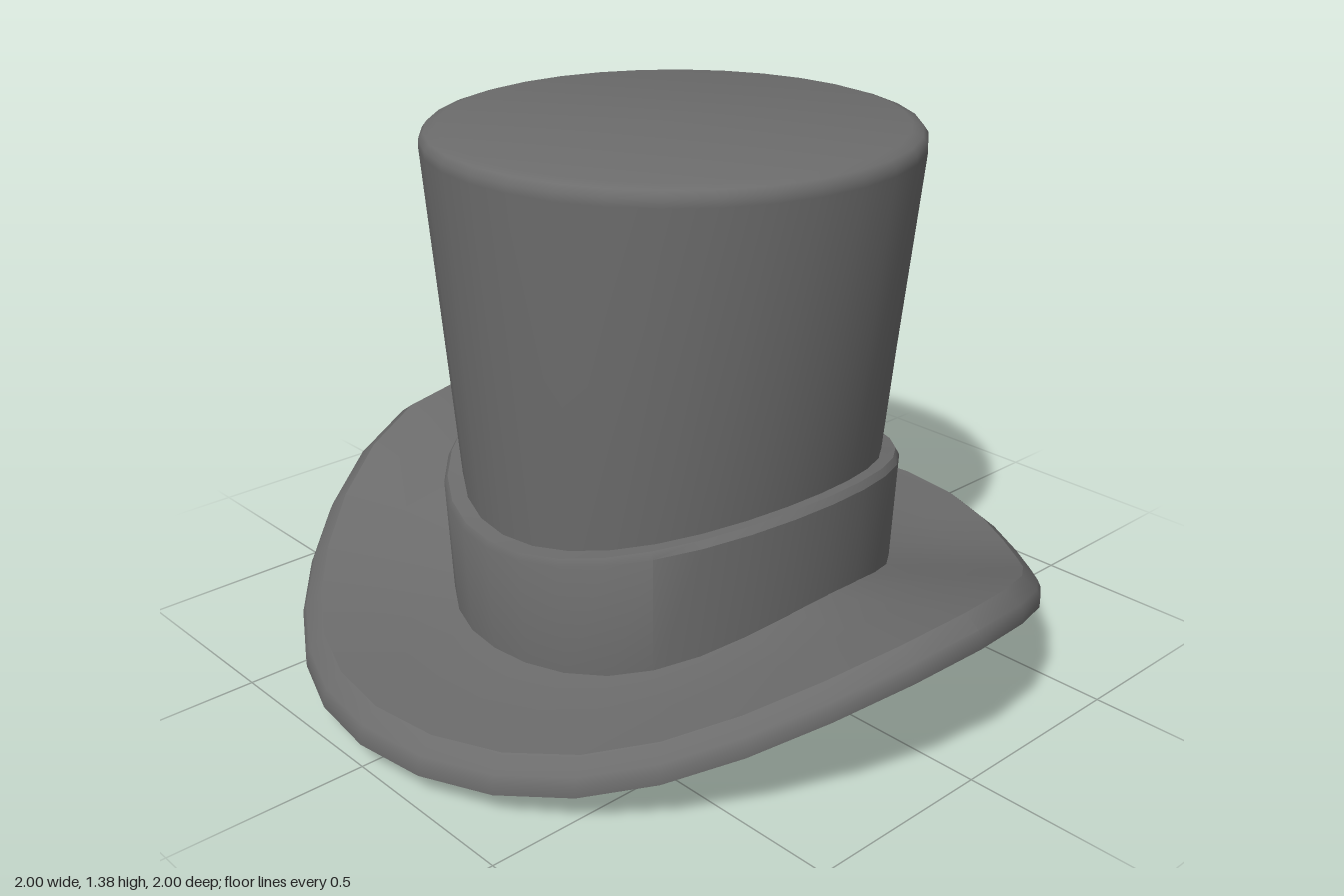
import * as THREE from 'three';
import { toCreasedNormals } from 'three/addons/utils/BufferGeometryUtils.js';

const SEGMENTS = 32;
const material = new THREE.MeshStandardMaterial({ color: 0x6c6c6c, side: THREE.DoubleSide });

// Point on a saddle-shaped ring: [x radius, z radius, height at front, height at sides, sharpness]
function ringPoint([rx, rz, yFront, ySide, power = 4], j) {
  const a = (j / SEGMENTS) * Math.PI * 2;
  const c = Math.cos(a), s = Math.sin(a);
  // wide rings are pinched between the axes, a little more on the left side
  const amount = (0.04 + 0.025 * c) * THREE.MathUtils.smoothstep(rx, 0.6, 0.95);
  const pinch = 1 - amount * Math.sin(2 * a) ** 2;
  return [rx * c * pinch, yFront + (ySide - yFront) * Math.abs(c) ** power, rz * s * pinch];
}

// Skin a list of rings
function loft(name, rings, crease) {
  const pos = [];
  for (let i = 0; i < rings.length - 1; i++) {
    for (let j = 0; j < SEGMENTS; j++) {
      const k = (j + 1) % SEGMENTS;
      const a = ringPoint(rings[i], j), b = ringPoint(rings[i], k);
      const c = ringPoint(rings[i + 1], j), d = ringPoint(rings[i + 1], k);
      if (rings[i][0] > 0) pos.push(...a, ...c, ...b);
      if (rings[i + 1][0] > 0) pos.push(...b, ...c, ...d);
    }
  }
  const geometry = new THREE.BufferGeometry();
  geometry.setAttribute('position', new THREE.Float32BufferAttribute(pos, 3));
  const mesh = new THREE.Mesh(toCreasedNormals(geometry, crease), material);
  mesh.name = name;
  return mesh;
}

export function createModel() {
  const hat = new THREE.Group();
  hat.name = 'topHat';

  // Curled brim: underside outwards, around the rim, back over the top
  hat.add(loft('brim', [
    [0.5, 0.555, 0, 0.13],
    [0.76, 0.78, 0.008, 0.225],
    [0.96, 0.96, 0.048, 0.325],
    [1, 1, 0.06, 0.345],
    [1, 1, 0.088, 0.37],
    [0.99, 0.99, 0.108, 0.39],
    [0.95, 0.95, 0.142, 0.418],
    [0.76, 0.78, 0.148, 0.36],
    [0.55, 0.6, 0.16, 0.3],
    [0.5, 0.555, 0.17, 0.3],
  ], 0.6));

  // The crown and its band sit slightly forward on the brim
  const body = new THREE.Group();
  body.name = 'crownAndBand';
  body.position.z = 0.008;
  hat.add(body);

  // Hat band with a beveled, wavy upper edge
  body.add(loft('band', [
    [0.54, 0.595, 0.1, 0.24, 2],
    [0.557, 0.608, 0.435, 0.55, 2],
    [0.545, 0.6, 0.452, 0.567, 2],
    [0.5, 0.555, 0.455, 0.56, 2],
  ], 0.6));

  // Flared crown: outer wall, softly rounded top edge, lid
  body.add(loft('crown', [
    [0.505, 0.555, 0.4, 0.5, 2],
    [0.6095, 0.61, 1.33, 1.33],
    [0.608, 0.61, 1.35, 1.35],
    [0.597, 0.598, 1.366, 1.366],
    [0.57, 0.57, 1.375, 1.375],
    [0, 0, 1.375, 1.375],
  ], 1));

  // Inside of the crown
  body.add(loft('crownInside', [
    [0, 0, 1.345, 1.345],
    [0.575, 0.575, 1.335, 1.335],
    [0.485, 0.535, 0.4, 0.5, 2],
  ], 0.6));

  // Tapered lining from a narrow ledge down to the head opening
  hat.add(loft('lining', [
    [0.485, 0.54, 0.41, 0.51, 2],
    [0.46, 0.51, 0.4, 0.5, 2],
    [0.5, 0.555, 0, 0.13],
  ], 0.6));

  return hat;
}
